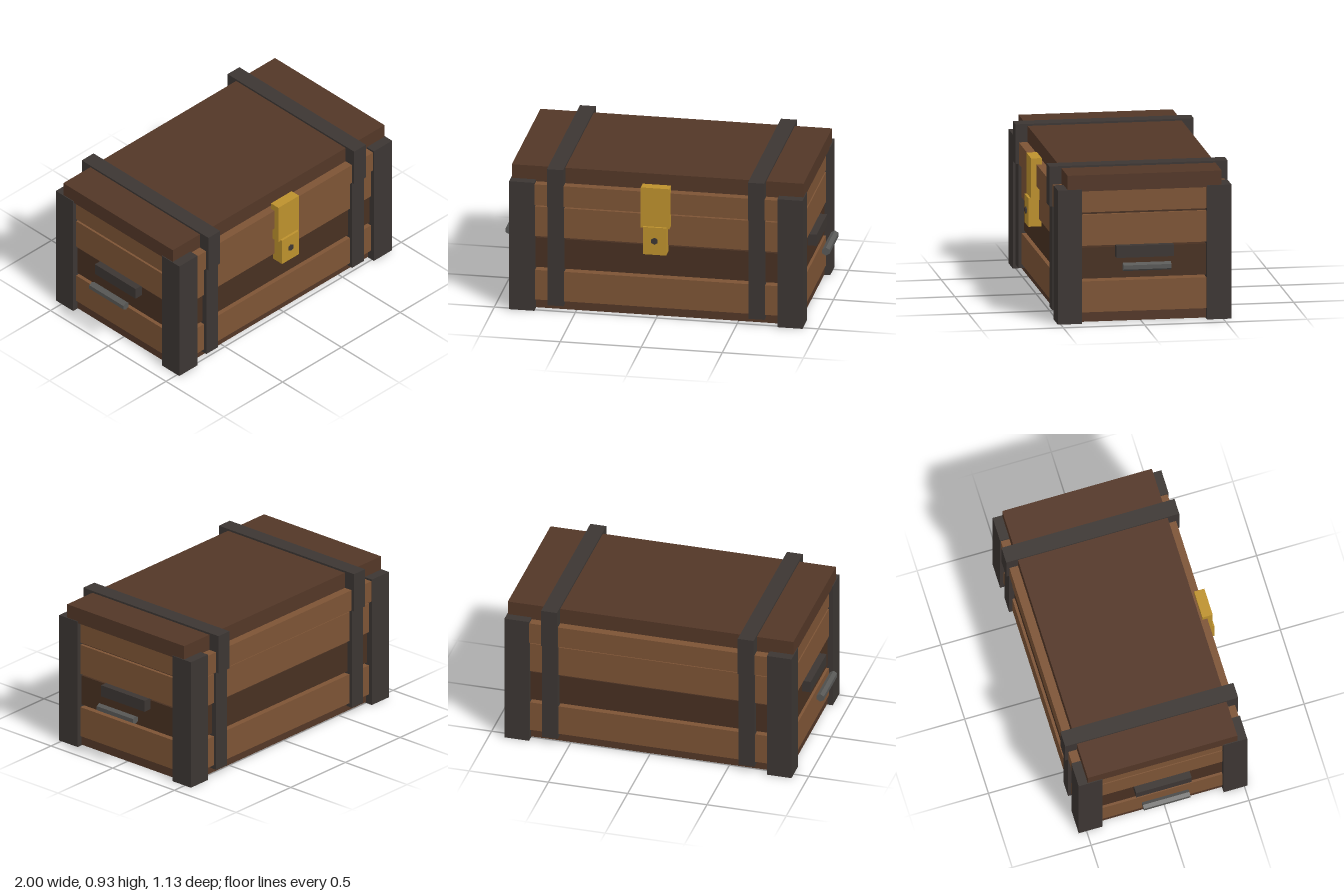
import * as THREE from 'three';

const material = (color) => new THREE.MeshStandardMaterial({ color, flatShading: true });

export function createModel() {
  const chest = new THREE.Group();
  chest.name = 'chest';
  const lightWood = material(0x7d5435);
  const darkWood = material(0x533727);
  const deepWood = material(0x483021);
  const iron = material(0x3c3633);
  const steel = material(0x585856);
  const brass = material(0xbd912d);

  // Box given by its extents on each axis
  function box(name, mat, [x0, x1], [y0, y1], [z0, z1]) {
    const mesh = new THREE.Mesh(new THREE.BoxGeometry(x1 - x0, y1 - y0, z1 - z0), mat);
    mesh.position.set((x0 + x1) / 2, (y0 + y1) / 2, (z0 + z1) / 2);
    mesh.name = name;
    chest.add(mesh);
  }

  // Six-sided rod lying along z
  function rod(name, mat, radius, x, y, [z0, z1]) {
    const mesh = new THREE.Mesh(new THREE.CylinderGeometry(radius, radius, z1 - z0, 6), mat);
    mesh.rotation.x = Math.PI / 2;
    mesh.position.set(x, y, (z0 + z1) / 2);
    mesh.name = name;
    chest.add(mesh);
  }

  // The body sits slightly behind the origin, as the latch sticks out in front
  const middleZ = -0.017;
  const depth = (half) => [middleZ - half, middleZ + half];

  // Plank layers: name, material, bottom, top, half width, half depth
  const layers = [
    ['base', darkWood, 0.005, 0.065, 0.87, 0.485],
    ['lowerPlank', lightWood, 0.065, 0.257, 0.88, 0.51],
    ['middlePlank', deepWood, 0.272, 0.464, 0.87, 0.495],
    ['upperPlank', lightWood, 0.478, 0.67, 0.88, 0.51],
    ['lidSeam', deepWood, 0.67, 0.685, 0.86, 0.48],
    ['lidPlank', lightWood, 0.685, 0.82, 0.88, 0.528],
    ['lidTop', darkWood, 0.82, 0.92, 0.9, 0.474],
  ];
  for (const [name, mat, y0, y1, halfX, halfZ] of layers) {
    box(name, mat, [-halfX, halfX], [y0, y1], depth(halfZ));
  }

  for (const side of [-1, 1]) {
    const span = (a, b) => (side > 0 ? [a, b] : [-b, -a]);

    // Corner posts
    box('frontCornerPost', iron, span(0.75, 0.905), [0, 0.832], [0.368, 0.518]);
    box('backCornerPost', iron, span(0.75, 0.905), [0, 0.832], [-0.55, -0.4]);

    // Straps around the body and the lid
    box('bodyStrap', iron, span(0.57, 0.67), [0.04, 0.685], depth(0.53));
    box('lidStrap', iron, span(0.57, 0.67), [0.685, 0.932], depth(0.548));

    // Side handle
    box('handlePlate', iron, span(0.86, 0.925), [0.405, 0.478], [-0.192, 0.16]);
    rod('handleBar', steel, 0.026, side * 0.977, 0.36, [-0.165, 0.13]);
  }

  // Front latch
  box('latchHasp', brass, [-0.088, 0.088], [0.6, 0.86], [0.48, 0.545]);
  box('latchLock', brass, [-0.072, 0.072], [0.433, 0.61], [0.48, 0.56]);
  rod('latchStud', iron, 0.022, 0, 0.523, [0.53, 0.567]);

  return chest;
}
